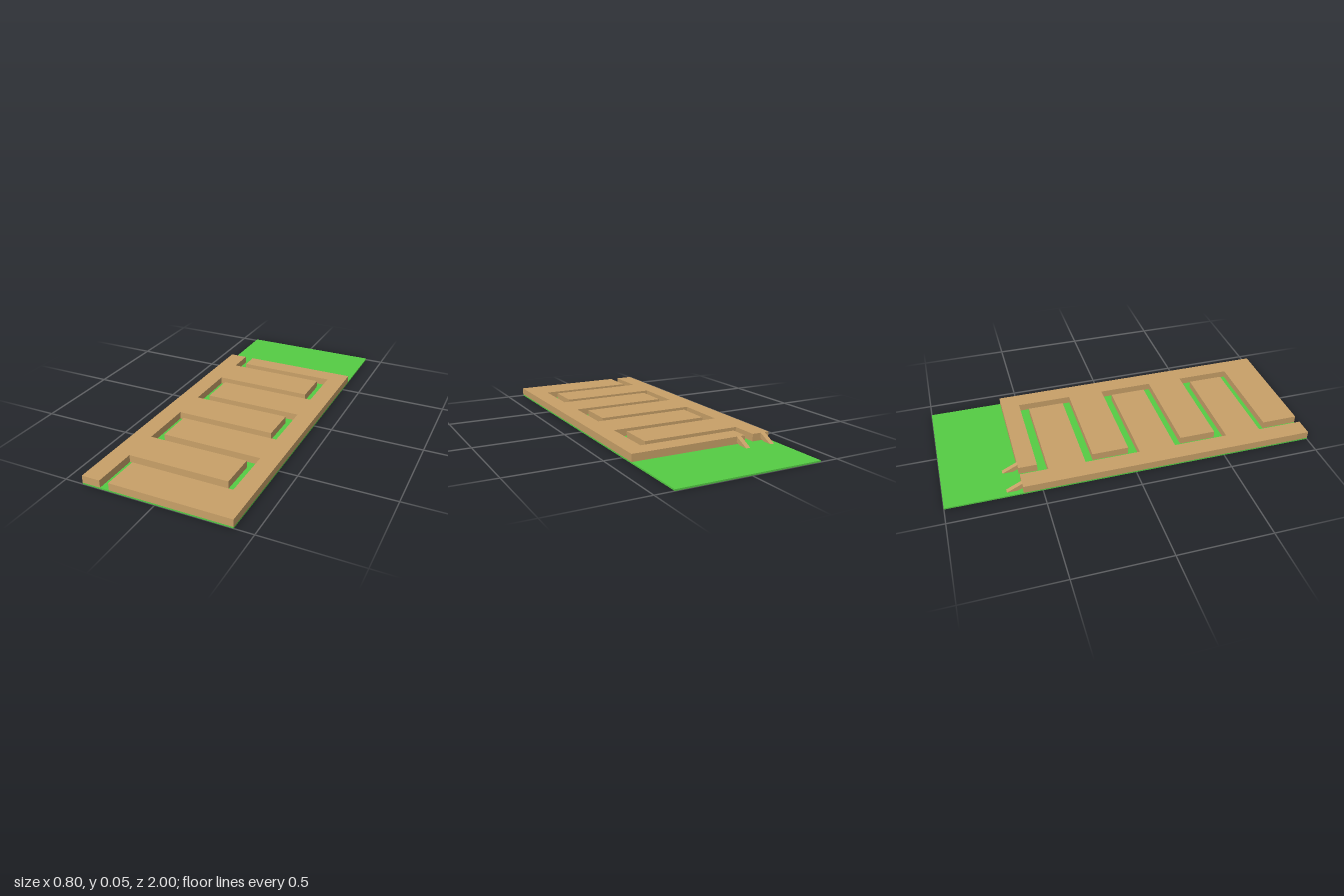
import * as THREE from 'three';

const BASE = 0.008, TOP = 0.048;

export function createModel() {
  const model = new THREE.Group();
  const green = new THREE.MeshStandardMaterial({ color: 0x55cc44 });
  const tan = new THREE.MeshStandardMaterial({ color: 0xc8a068 });

  const add = (name, geometry, material) => {
    const mesh = new THREE.Mesh(geometry, material);
    mesh.name = name;
    model.add(mesh);
    return mesh;
  };

  // thin base sheet
  add('base', new THREE.BoxGeometry(0.8, BASE, 2).translate(0, BASE / 2, 0), green);

  // one wall of the winding channel, as [x, z] points from back to front
  const bank = (left, right, first, second) => {
    const points = [[left, -0.6]];
    for (let i = 0; i < 3; i++) {
      const z = i * 0.5;
      points.push([left, first + z], [right, first + z], [right, second + z], [left, second + z]);
    }
    points.push([left, 1]);
    return points;
  };

  // raised slab on each side of the channel
  const slab = (name, points, outerX) => {
    const outline = [...points, [outerX, 1], [outerX, -0.6]];
    const shape = new THREE.Shape(outline.map(([x, z]) => new THREE.Vector2(x, -z)));
    const geometry = new THREE.ExtrudeGeometry(shape, { depth: TOP - BASE, bevelEnabled: false });
    geometry.rotateX(-Math.PI / 2).translate(0, BASE, 0);
    add(name, geometry, tan);
  };
  slab('rightSlab', bank(-0.3, 0.25, -0.45, -0.25), -0.4);
  slab('leftSlab', bank(-0.25, 0.3, -0.5, -0.2), 0.4);

  // sloping struts either side of the channel's back opening
  const profile = new THREE.Shape([[0.6, TOP], [0.6, 0.02], [0.625, BASE], [0.682, BASE]]
    .map(([back, y]) => new THREE.Vector2(back, y)));
  for (const x of [-0.3625, -0.2125]) {
    const geometry = new THREE.ExtrudeGeometry(profile, { depth: 0.025, bevelEnabled: false });
    geometry.translate(0, 0, -0.0125).rotateY(Math.PI / 2);
    add('strut', geometry, tan).position.x = x;
  }

  return model;
}
